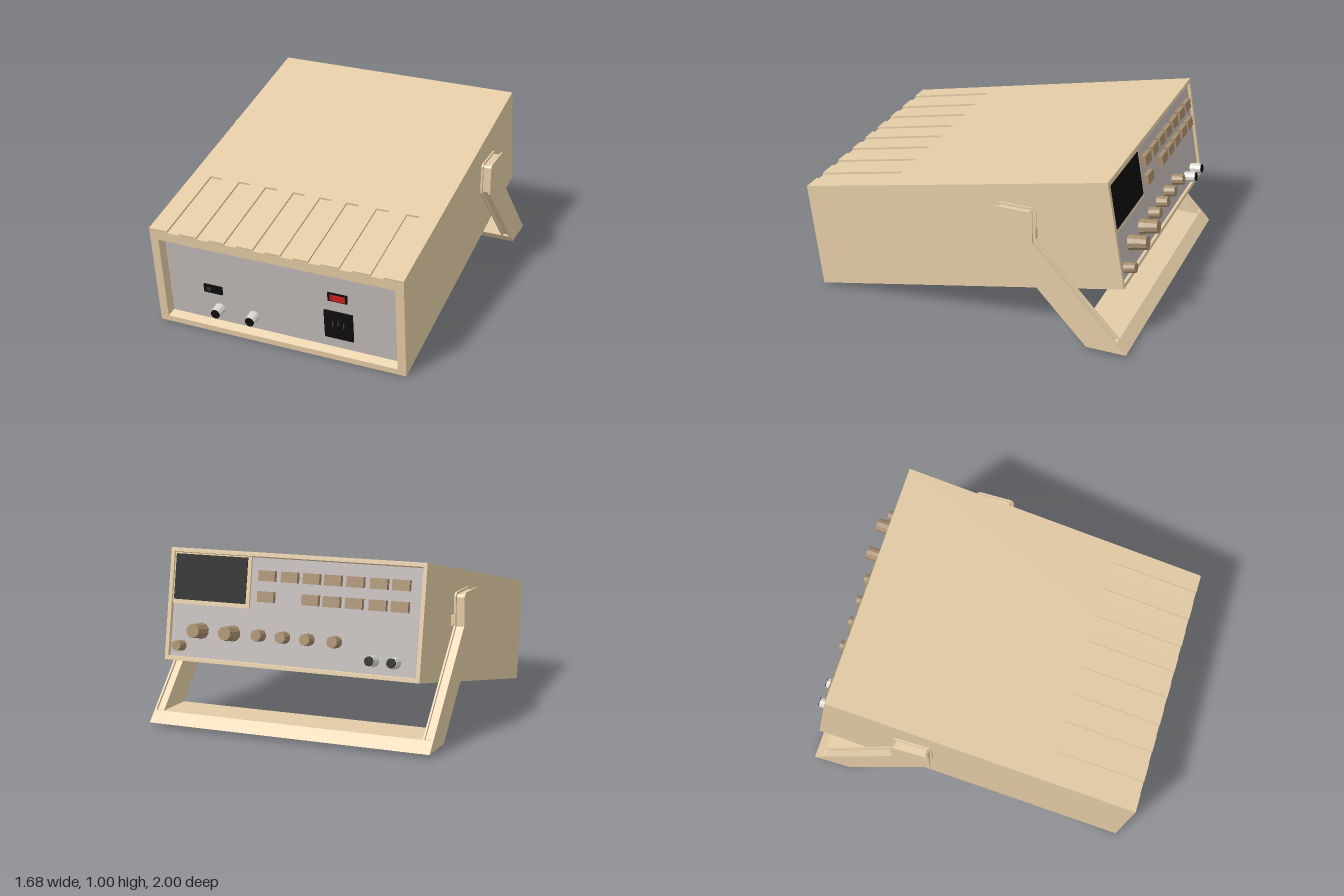
import * as THREE from 'three';

const mat = (color) => new THREE.MeshStandardMaterial({ color, flatShading: true });
const TAN = mat(0xe3cba5), GREY = mat(0xbfb8b5), BLACK = mat(0x0c0d0c);
const RED = mat(0xcc2222), BROWN = mat(0xa58c6c), SILVER = mat(0xd8d8d0);

function add(parent, name, geometry, material) {
  const mesh = new THREE.Mesh(geometry, material);
  mesh.name = name;
  parent.add(mesh);
  return mesh;
}

function box(parent, name, material, w, h, d, x, y, z) {
  const mesh = add(parent, name, new THREE.BoxGeometry(w, h, d), material);
  mesh.position.set(x, y, z);
  return mesh;
}

// Faceted round part standing on a panel; dir is the way it points along z
function knob(parent, name, material, r, length, x, y, dir, sides = 10) {
  const geo = new THREE.CylinderGeometry(r * 0.92, r, length, sides);
  geo.rotateX(dir * Math.PI / 2);
  geo.translate(x, y, dir * length / 2);
  return add(parent, name, geo, material);
}

// Round silver socket with a dark end
function connector(parent, name, r, length, x, y, dir) {
  knob(parent, name, SILVER, r, length, x, y, dir);
  knob(parent, name + 'End', BLACK, r * 0.9, length + 0.004, x, y, dir);
}

const W = 0.76, H = 0.618, TOP = 0.63;
const frontZ = (y) => -0.0935 * y;
const backZ = (y) => -1.899 - 0.027 * y;

// Piece of the casing between two slanted ends, optionally open through a rectangle.
// The opening narrows by `taper` at the end given by `inner` (0 back, 1 front).
function casing(front, back, hole, inner = 0, taper = 0) {
  const rect = (P, x, y0, y1) => new P([[-x, y0], [x, y0], [x, y1], [-x, y1]].map((p) => new THREE.Vector2(...p)));
  const shape = rect(THREE.Shape, W, 0, H);
  if (hole) shape.holes.push(rect(THREE.Path, ...hole));
  const geo = new THREE.ExtrudeGeometry(shape, { depth: 1, bevelEnabled: false });
  const p = geo.attributes.position;
  for (let i = 0; i < p.count; i++) {
    let x = p.getX(i), y = p.getY(i);
    const end = Math.round(p.getZ(i));
    if (end === inner && Math.abs(x) < W - 0.005) {
      x -= Math.sign(x) * taper;
      y += y < 0.3 ? taper : -taper;
    }
    p.setXYZ(i, x, y, end ? front(y) : back(y));
  }
  geo.computeVertexNormals();
  return geo;
}

// Top skin with vent slots running back from the front edge
function ventedTop() {
  const pts = [[-W, 0.058]];
  for (const c of [-0.61, -0.425, -0.255, -0.08, 0.085, 0.25, 0.43, 0.61]) {
    pts.push([c - 0.037, 0.058], [c - 0.037, 0.594], [c + 0.037, 0.594], [c + 0.037, 0.058]);
  }
  pts.push([W, 0.058], [W, 1.916], [-W, 1.916]);
  const shape = new THREE.Shape(pts.map((p) => new THREE.Vector2(...p)));
  const geo = new THREE.ExtrudeGeometry(shape, { depth: TOP - H, bevelEnabled: false });
  geo.rotateX(-Math.PI / 2);
  geo.translate(0, H, 0);
  return geo;
}

// Extrude a (z, y) outline sideways from x0 to x1
function sideways(points, x0, x1) {
  const shape = new THREE.Shape(points.map(([z, y]) => new THREE.Vector2(-z, y)));
  const geo = new THREE.ExtrudeGeometry(shape, { depth: x1 - x0, bevelEnabled: false });
  geo.rotateY(Math.PI / 2);
  geo.translate(x0, 0, 0);
  return geo;
}

function buildCase(body) {
  const midFront = (y) => frontZ(y) - 0.05, midBack = (y) => backZ(y) + 0.02;
  add(body, 'frontFrame', casing(frontZ, midFront, [0.71, 0.035, 0.56], 0, 0.014), TAN);
  add(body, 'caseMiddle', casing(midFront, midBack), TAN);
  add(body, 'backFrame', casing(midBack, backZ, [0.738, 0.02, 0.607], 1, 0.006), TAN);
  add(body, 'ventedTop', ventedTop(), TAN);
}

function buildConnectionPanel(body) {
  const g = new THREE.Group();
  g.name = 'connectionPanel';
  g.position.z = -0.046;
  g.rotation.x = -0.0932;
  body.add(g);
  box(g, 'connectionPlate', GREY, 1.39, 0.497, 0.006, 0, 0.298, -0.002);
  for (const x of [-0.385, -0.17]) connector(g, 'terminal', 0.034, 0.062, x, 0.135, 1);
  box(g, 'selectorSwitch', BLACK, 0.115, 0.052, 0.014, -0.415, 0.263, 0.004);
  box(g, 'selectorLever', mat(0x333533), 0.025, 0.02, 0.006, -0.44, 0.263, 0.012);
  box(g, 'powerSwitchFrame', BLACK, 0.115, 0.052, 0.014, 0.355, 0.393, 0.004);
  box(g, 'powerSwitch', RED, 0.075, 0.036, 0.014, 0.365, 0.393, 0.01);
  box(g, 'powerSwitchEnd', RED, 0.012, 0.036, 0.008, 0.318, 0.393, 0.01);
  box(g, 'powerSocket', BLACK, 0.17, 0.178, 0.016, 0.355, 0.207, 0.005);
  for (const [x, y] of [[-0.033, 0.215], [0, 0.23], [0.033, 0.215]]) {
    box(g, 'socketPin', mat(0x3a3c3a), 0.006, 0.034, 0.008, 0.355 + x, y, 0.013);
  }
}

function buildControlPanel(body) {
  const g = new THREE.Group();
  g.name = 'controlPanel';
  g.position.z = -1.884;
  g.rotation.x = -0.027;
  body.add(g);
  box(g, 'controlPlate', GREY, 1.465, 0.578, 0.006, 0, 0.313, 0.003);
  box(g, 'screenBezel', TAN, 0.475, 0.285, 0.014, 0.495, 0.462, -0.005);
  box(g, 'screen', BLACK, 0.445, 0.255, 0.01, 0.502, 0.47, -0.011);
  // Two rows of push buttons, one place left empty in the lower row
  [0.155, 0.02, -0.11, -0.235, -0.365, -0.5, -0.625].forEach((x, i) => {
    box(g, 'button', BROWN, 0.098, 0.058, 0.028, x, 0.505, -0.014);
    if (i !== 1) box(g, 'button', BROWN, 0.098, 0.058, 0.028, x, 0.39, -0.014);
  });
  for (const x of [0.35, 0.545]) {
    knob(g, 'largeKnobSkirt', BROWN, 0.046, 0.035, x, 0.176, -1);
    knob(g, 'largeKnob', BROWN, 0.042, 0.106, x, 0.176, -1);
  }
  for (const x of [-0.27, -0.11, 0.035, 0.18]) knob(g, 'smallKnob', BROWN, 0.034, 0.066, x, 0.178, -1);
  knob(g, 'trimKnob', BROWN, 0.031, 0.066, 0.665, 0.085, -1);
  for (const x of [-0.49, -0.615]) connector(g, 'inputSocket', 0.033, 0.066, x, 0.095, -1);
}

function buildHandle(root) {
  const g = new THREE.Group();
  g.name = 'carryHandle';
  root.add(g);
  const plate = [[-0.2, 0.6], [-0.75, 0.02], [-0.98, 0.02], [-0.43, 0.6],
    [-0.43, 0.765], [-0.41, 0.785], [-0.215, 0.785], [-0.2, 0.77]];
  const core = [[-0.215, 0.606], [-0.77, 0.022], [-0.96, 0.022], [-0.415, 0.594],
    [-0.415, 0.758], [-0.404, 0.772], [-0.224, 0.772], [-0.215, 0.762]];
  for (const s of [-1, 1]) {
    const span = (a, b) => (s > 0 ? [a, b] : [-b, -a]);
    add(g, 'armInnerPlate', sideways(plate, ...span(0.778, 0.788)), TAN);
    add(g, 'armCore', sideways(core, ...span(0.788, 0.827)), TAN);
    add(g, 'armOuterPlate', sideways(plate, ...span(0.827, 0.838)), TAN);
    box(g, 'pivot', TAN, 0.03, 0.055, 0.18, s * 0.766, 0.628, -0.34);
  }
  // Bar joining both arms, also the rear stand
  const bar = [[-0.69, 0.08], [-0.75, 0.02], [-0.98, 0.02], [-0.923, 0.08]];
  add(g, 'crossBar', sideways(bar, -0.837, 0.837), TAN);
}

export function createModel() {
  const root = new THREE.Group();
  root.name = 'benchInstrument';
  // Casing rests tilted on its lower front edge and the handle
  const body = new THREE.Group();
  body.name = 'tiltedBody';
  body.position.z = 0.93;
  body.rotation.x = 0.2035;
  root.add(body);
  buildCase(body);
  buildConnectionPanel(body);
  buildControlPanel(body);
  buildHandle(root);
  return root;
}
